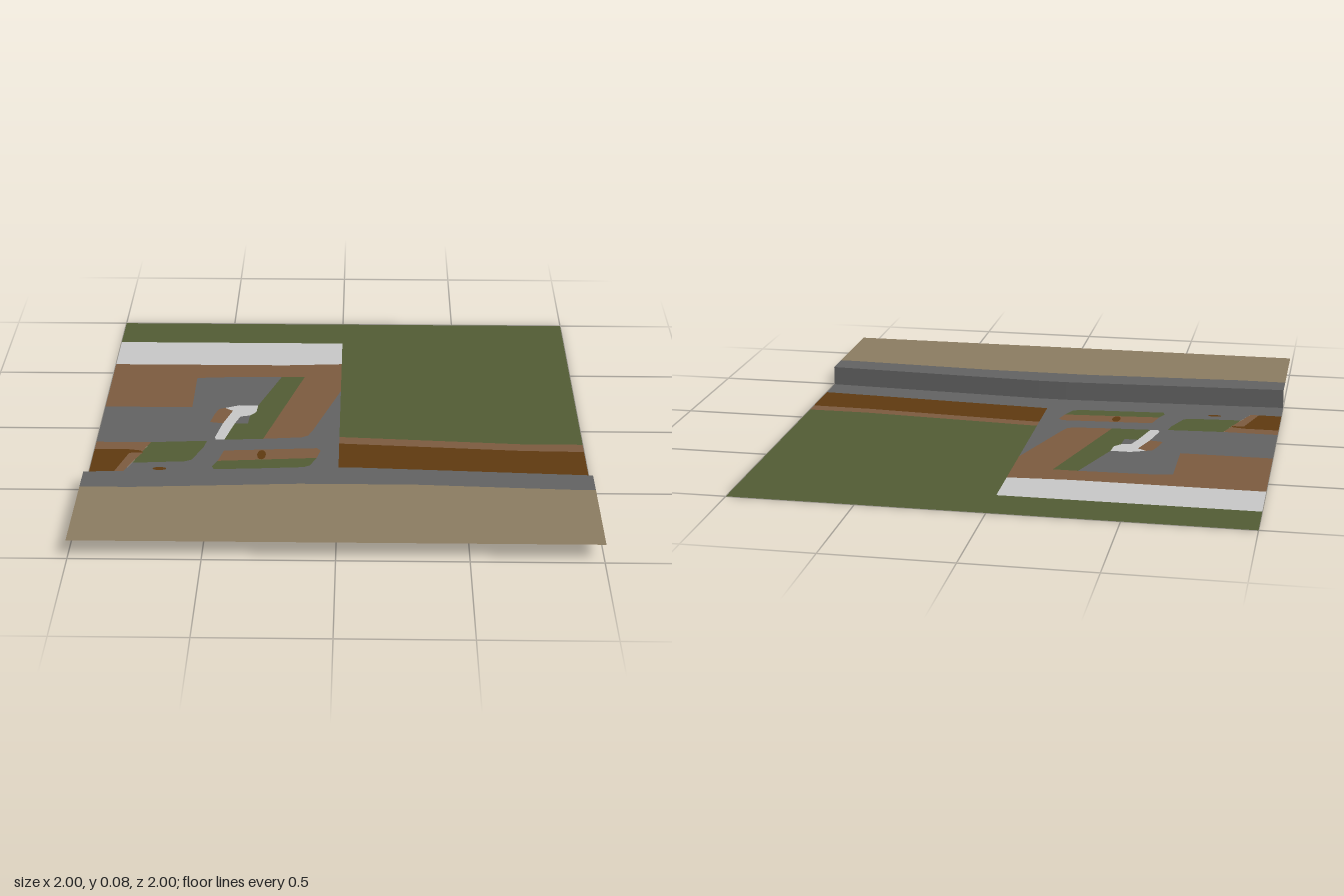
import * as THREE from 'three';

const mat = (name, color) =>
  new THREE.MeshStandardMaterial({ name, color, side: THREE.DoubleSide });

const grass = mat('grass green', 0x535d35);
const paving = mat('paving grey', 0x636363);
const dirt = mat('dirt brown', 0x7d5c40);
const soil = mat('dark soil brown', 0x603a10);
const sand = mat('sand', 0x8d7d62);
const pale = mat('pale concrete', 0xc9c9c9);

const STEP = 0.08; // height of the front terrace
const WALL = [[-1, 0.495], [-0.06, 0.447], [0.06, 0.447], [1, 0.495]];
const KERB = [[-1, 0.61], [-0.8, 0.61], [-0.15, 0.576], [0.3, 0.576], [0.93, 0.607], [1, 0.607]];

// [x, z] pairs to plan vectors
const plan = (pts) => pts.map(([x, z]) => new THREE.Vector2(x, -z));

// small oval outline
function oval(cx, cz, rx, rz) {
  const pts = [];
  for (let i = 0; i < 12; i++) {
    const a = (i / 12) * Math.PI * 2;
    pts.push([cx + rx * Math.cos(a), cz + rz * Math.sin(a)]);
  }
  return pts;
}

export function createModel() {
  const model = new THREE.Group();
  model.name = 'terrain';

  // flat ground region, with optional cut-outs
  function region(name, material, pts, y = 0, holes = []) {
    const shape = new THREE.Shape(plan(pts));
    for (const h of holes) shape.holes.push(new THREE.Path(plan(h)));
    const geometry = new THREE.ShapeGeometry(shape);
    geometry.rotateX(-Math.PI / 2);
    const mesh = new THREE.Mesh(geometry, material);
    mesh.name = name;
    mesh.position.y = y;
    model.add(mesh);
  }

  // back field and pale road
  region('field', grass, [[-1, -1], [1, -1], [1, 0.11], [0.75, 0.11], [0, 0.06],
    [0, -0.805], [-1, -0.805]]);
  region('paleRoad', pale, [[-1, -0.805], [0, -0.805], [0, -0.6], [-0.25, -0.585], [-1, -0.585]]);

  // dirt yard wrapping the paved court
  region('dirtYard', dirt, [[-1, -0.585], [-0.25, -0.585], [0, -0.6], [0, -0.345],
    [-0.11, 0], [-0.13, 0.05], [-0.155, 0.065], [-0.315, 0.08], [-0.16, -0.475],
    [-0.26, -0.475], [-0.57, -0.465], [-0.63, -0.455], [-0.63, -0.19], [-1, -0.19]]);

  // lawn strip, pale path and dirt patch beside it
  region('lawnStrip', grass, [[-0.26, -0.475], [-0.16, -0.475], [-0.315, 0.08],
    [-0.475, 0.09], [-0.44, -0.05], [-0.385, -0.05], [-0.38, -0.12], [-0.355, -0.15],
    [-0.35, -0.21]]);
  region('palePath', pale, [[-0.49, -0.185], [-0.43, -0.21], [-0.35, -0.21], [-0.355, -0.15],
    [-0.38, -0.12], [-0.42, -0.11], [-0.44, -0.05], [-0.475, 0.09], [-0.51, 0.09],
    [-0.515, 0.07], [-0.49, -0.05], [-0.455, -0.16]]);
  region('pathDirtPatch', dirt, [[-0.49, -0.185], [-0.455, -0.16], [-0.49, -0.05],
    [-0.545, -0.06], [-0.53, -0.13], [-0.515, -0.175]]);
  region('pathPocket', paving, [[-0.42, -0.11], [-0.38, -0.12], [-0.385, -0.05], [-0.44, -0.05]]);

  // left bed
  region('leftBedDirt', dirt, [[-1, 0.115], [-0.775, 0.115], [-0.835, 0.28], [-0.87, 0.37],
    [-0.905, 0.37], [-0.855, 0.205], [-0.8, 0.2], [-0.81, 0.185], [-0.86, 0.175], [-1, 0.175]]);
  region('leftBedSoil', soil, [[-1, 0.175], [-0.86, 0.175], [-0.81, 0.185], [-0.8, 0.2],
    [-0.855, 0.205], [-0.905, 0.37], [-1, 0.37]]);
  region('leftLawn', grass, [[-0.775, 0.115], [-0.545, 0.1], [-0.555, 0.15],
    [-0.595, 0.255], [-0.62, 0.27], [-0.835, 0.285]]);

  // middle bed and small soil spots
  const spot = oval(-0.72, 0.33, 0.028, 0.012);
  const bedSpot = oval(-0.315, 0.212, 0.018, 0.038);
  region('soilSpot', soil, spot);
  region('bedSoilSpot', soil, bedSpot);
  region('middleBedDirt', dirt, [[-0.47, 0.18], [-0.09, 0.155], [-0.075, 0.175],
    [-0.09, 0.235], [-0.49, 0.265]], 0, [bedSpot]);
  region('middleLawn', grass, [[-0.49, 0.265], [-0.09, 0.235], [-0.115, 0.295],
    [-0.14, 0.31], [-0.5, 0.335], [-0.51, 0.31]]);

  // right bank
  region('rightBankDirt', dirt, [[0, 0.06], [0.75, 0.11], [1, 0.11], [1, 0.17],
    [0.75, 0.165], [0, 0.115]]);
  region('rightBankSoil', soil, [[0, 0.115], [0.75, 0.165], [1, 0.17], [1, 0.37], [0, 0.31]]);

  // paved court and lower road fill the rest
  region('pavedCourt', paving, [
    [-1, -0.19], [-0.63, -0.19], [-0.63, -0.455], [-0.57, -0.465], [-0.26, -0.475],
    [-0.35, -0.21], [-0.43, -0.21], [-0.49, -0.185], [-0.515, -0.175], [-0.53, -0.13],
    [-0.545, -0.06], [-0.49, -0.05], [-0.515, 0.07], [-0.51, 0.09], [-0.475, 0.09],
    [-0.315, 0.08], [-0.155, 0.065], [-0.13, 0.05], [-0.11, 0], [0, -0.345],
    [0, 0.31], [1, 0.37], ...[...WALL].reverse(),
    [-1, 0.37], [-0.87, 0.37], [-0.835, 0.285], [-0.62, 0.27], [-0.595, 0.255],
    [-0.555, 0.15], [-0.545, 0.1], [-0.775, 0.115], [-1, 0.115],
  ], 0, [spot, [[-0.47, 0.18], [-0.09, 0.155], [-0.075, 0.175], [-0.09, 0.235],
    [-0.115, 0.295], [-0.14, 0.31], [-0.5, 0.335], [-0.51, 0.31], [-0.49, 0.265]]]);

  // raised front terrace: paved edge and sand
  region('terraceEdge', paving, [...WALL, ...[...KERB].reverse()], STEP);
  region('sandTerrace', sand, [...KERB, [1, 1], [-1, 1]], STEP);

  // retaining wall between the two levels
  const positions = [];
  for (let i = 0; i < WALL.length - 1; i++) {
    const [x0, z0] = WALL[i];
    const [x1, z1] = WALL[i + 1];
    positions.push(x0, 0, z0, x1, 0, z1, x1, STEP, z1);
    positions.push(x0, 0, z0, x1, STEP, z1, x0, STEP, z0);
  }
  const wallGeometry = new THREE.BufferGeometry();
  wallGeometry.setAttribute('position', new THREE.Float32BufferAttribute(positions, 3));
  wallGeometry.computeVertexNormals();
  const wall = new THREE.Mesh(wallGeometry, paving);
  wall.name = 'retainingWall';
  model.add(wall);

  return model;
}
